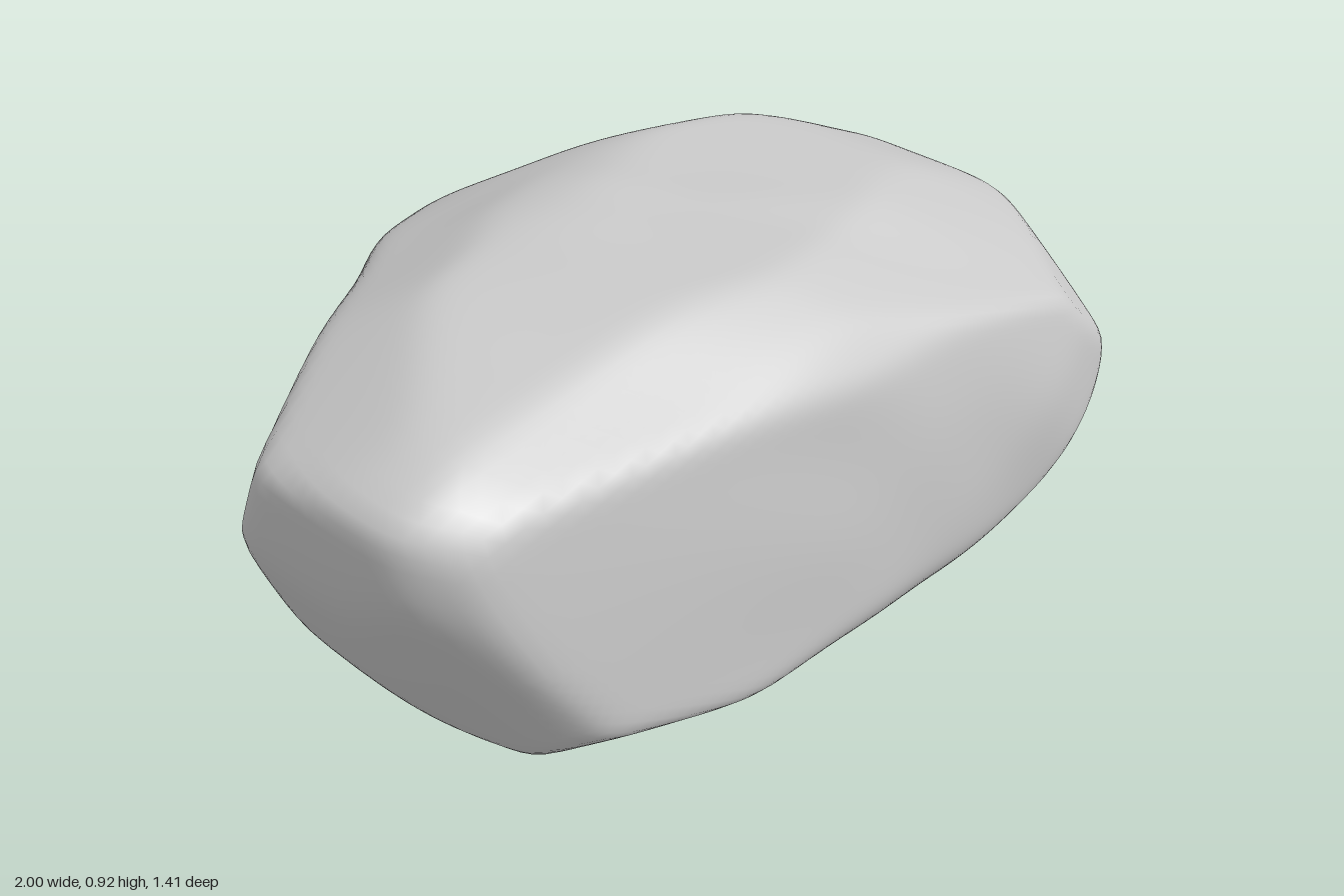
import * as THREE from 'three';
import { mergeVertices } from 'three/addons/utils/BufferGeometryUtils.js';

const V = (x, y, z) => new THREE.Vector3(x, y, z);
const CENTRE = V(0.05, 0.45, 0.06);

// Convex outlines of the boulder along the main axes
const FRONT = [[-1, .8], [-.84, .868], [-.3, .925], [.4, .858], [.55, .82], [.85, .68], [.96, .55], [1, .4], [.95, .24],
  [.87, .14], [.6, .04], [.4, .01], [-.4, .01], [-.58, .03], [-.73, .12], [-.84, .27], [-.96, .52]];
const SIDE = [[.7, .47], [.65, .75], [.56, .86], [.44, .92], [.2, .925], [0, .91], [-.18, .87], [-.45, .75], [-.6, .63],
  [-.7, .32], [-.69, .25], [-.57, .12], [-.44, .05], [-.05, .005], [.4, .02], [.58, .1], [.66, .22]];
const TOP = [[-1, .2], [-.97, -.02], [-.5, -.4], [0, -.63], [.18, -.69], [.32, -.705], [.5, -.65], [.6, -.56], [.85, -.25],
  [1, .08], [.95, .28], [.8, .6], [.7, .65], [.46, .7], [-.2, .645], [-.9, .55], [-.97, .5], [-1, .42]];

// Outlines along three slanting directions, measured from mid height in slightly larger units
const SLANT_UNIT = 1.034;
const SLANT_FRONT = [[-1.04, .36], [-.93, .42], [-.46, .49], [-.14, .466], [.22, .4], [.51, .26], [.66, .153], [.78, .04],
  [.81, -.083], [.82, -.29], [.66, -.507], [.56, -.566], [.07, -.63], [-.106, -.607], [-.49, -.466], [-.696, -.336],
  [-.83, -.24], [-.96, .035], [-1.02, .195]];
const SLANT_BACK = [[-.82, -.153], [-.8, .124], [-.76, .27], [-.7, .377], [-.566, .466], [-.3, .52], [-.035, .537],
  [.348, .513], [.967, .277], [1.04, .195], [1.026, .094], [.79, -.3], [.7, -.407], [.566, -.472], [.29, -.5],
  [-.165, -.5], [-.348, -.483], [-.625, -.4], [-.77, -.27]];
const SLANT_BELOW = [[-.967, -.024], [-.908, .124], [-.79, .33], [-.584, .466], [-.26, .507], [.153, .436], [.37, .36],
  [.466, .29], [.596, .065], [.725, -.23], [.625, -.448], [.42, -.6], [.21, -.672], [.124, -.672], [-.14, -.6],
  [-.643, -.395], [-.79, -.277], [-.95, -.065]];

// Broken corners: outward normal, then a point on the facet
const CHIPS = [
  [V(.6, .6, .5), V(.66, .7, .48)],
  [V(.6, -.65, -.5), V(.61, .15, -.41)],
  [V(-.35, .7, -.6), V(-.45, .8, -.26)],
];

function collectPlanes() {
  const planes = [];
  const add = (normal, point) => {
    const n = normal.normalize();
    let h = n.dot(point.clone().sub(CENTRE));
    if (h < 0) { n.negate(); h = -h; }
    planes.push({ n, h });
  };
  // Each outline edge becomes a plane swept along the outline's own direction
  const addOutline = (outline, right, up, origin = V(0, 0, 0)) => outline.forEach(([a, b], i) => {
    const [c, d] = outline[(i + 1) % outline.length];
    const place = (u, v) => V(0, 0, 0).addScaledVector(right, u).addScaledVector(up, v);
    add(place(d - b, a - c), place(a, b).add(origin));
  });
  const addSlant = (outline, turn, tilt) => {
    const rad = THREE.MathUtils.degToRad;
    const toward = V(0, 0, 0).setFromSphericalCoords(1, rad(90 - tilt), rad(turn));
    const right = V(0, 1, 0).cross(toward).setLength(SLANT_UNIT);
    addOutline(outline, right, toward.cross(right), V(0, 0.468, 0));
  };
  addOutline(FRONT, V(1, 0, 0), V(0, 1, 0));
  addOutline(SIDE, V(0, 0, 1), V(0, 1, 0));
  addOutline(TOP, V(1, 0, 0), V(0, 0, 1));
  addSlant(SLANT_FRONT, 35, 25);
  addSlant(SLANT_BACK, 215, 25);
  addSlant(SLANT_BELOW, 140, -30);
  CHIPS.forEach(([n, p]) => add(n.clone(), p));
  return planes;
}

// Gentle dents and swellings; the base makes up for the rounding of the edges
const lumps = (d) => 1.014
  + 0.006 * Math.sin(5 * d.x + 3 * d.y + 1) * Math.sin(6 * d.z - 4 * d.y)
  + 0.004 * Math.sin(9 * d.y + 4 * d.x) * Math.cos(8 * d.x - 7 * d.z);

function boulderGeometry() {
  const planes = collectPlanes();
  let geo = new THREE.IcosahedronGeometry(1, 40);
  geo.deleteAttribute('normal');
  geo.deleteAttribute('uv');
  geo = mergeVertices(geo, 1e-5);
  const pos = geo.attributes.position;
  const d = V(0, 0, 0);
  const sharpness = 80;
  for (let i = 0; i < pos.count; i++) {
    d.fromBufferAttribute(pos, i).normalize();
    // Softly rounded intersection of all the facet planes
    let sum = 0;
    for (const { n, h } of planes) sum += Math.max(0, n.dot(d) / h) ** sharpness;
    const r = sum ** (-1 / sharpness) * lumps(d);
    pos.setXYZ(i, d.x * r + CENTRE.x, Math.max(0, d.y * r + CENTRE.y), d.z * r + CENTRE.z);
  }
  geo.computeVertexNormals();
  return geo;
}

export function createModel() {
  const group = new THREE.Group();
  group.name = 'rock';
  const boulder = new THREE.Mesh(boulderGeometry(), new THREE.MeshStandardMaterial({ color: 0xcccccc }));
  boulder.name = 'boulder';
  group.add(boulder);
  return group;
}
